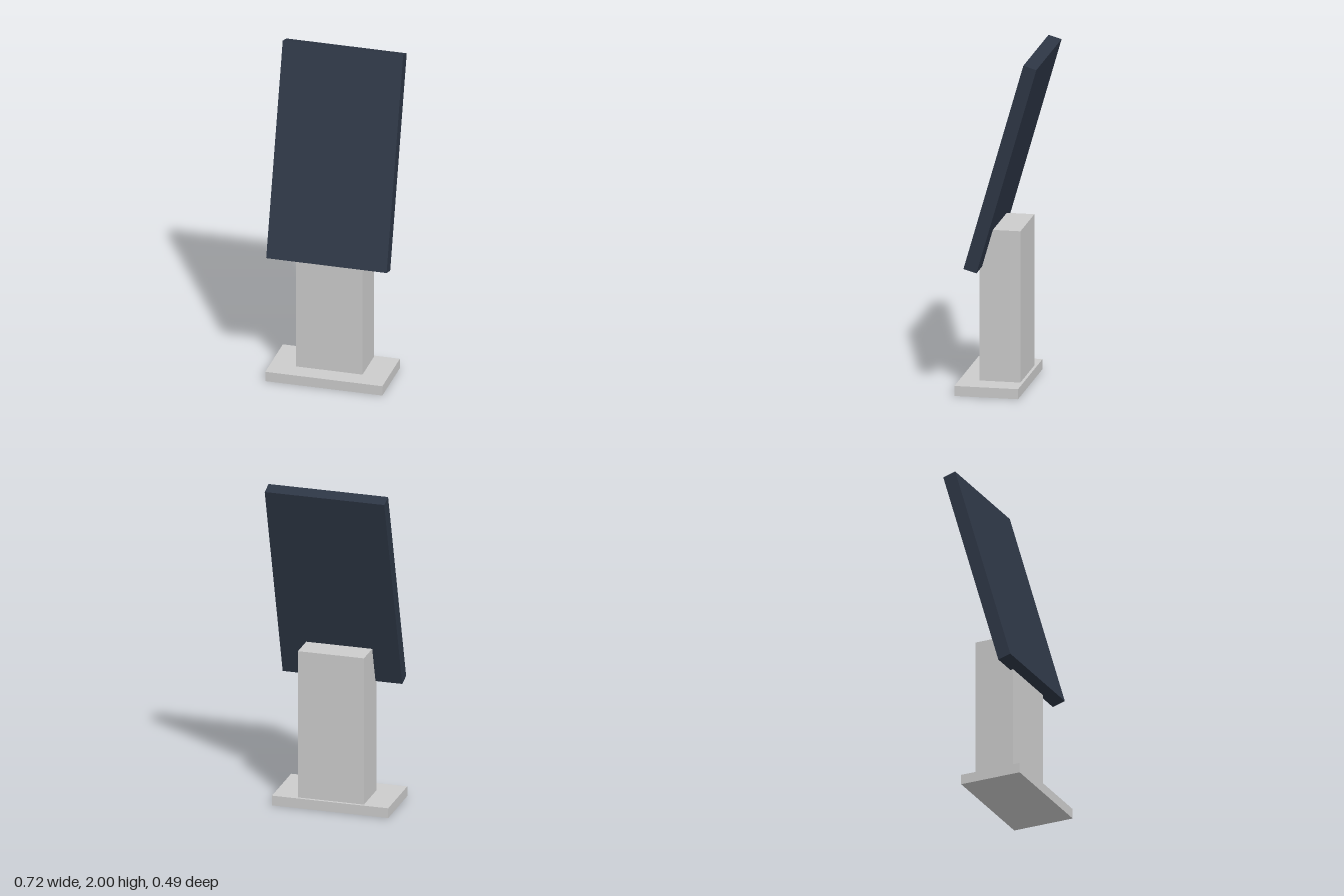
import * as THREE from 'three';

export function createModel() {
  const model = new THREE.Group();
  const grey = new THREE.MeshStandardMaterial({ color: 0xcccccc });
  const dark = new THREE.MeshStandardMaterial({ color: 0x2d3645 });

  function addBox(name, size, position, material) {
    const mesh = new THREE.Mesh(new THREE.BoxGeometry(...size), material);
    mesh.name = name;
    mesh.position.set(...position);
    model.add(mesh);
    return mesh;
  }

  // Floor plate, reaching further forward than back
  addBox('basePlate', [0.704, 0.06, 0.376], [0, 0.03, 0.055], grey);

  // Upright column; its top front edge sinks into the panel
  addBox('column', [0.4, 0.905, 0.242], [0, 0.5125, 0.005], grey);

  // Display panel leaning back
  const panel = addBox('displayPanel', [0.724, 1.285, 0.08], [0, 1.3715, -0.028], dark);
  panel.rotation.x = THREE.MathUtils.degToRad(-16);

  return model;
}
